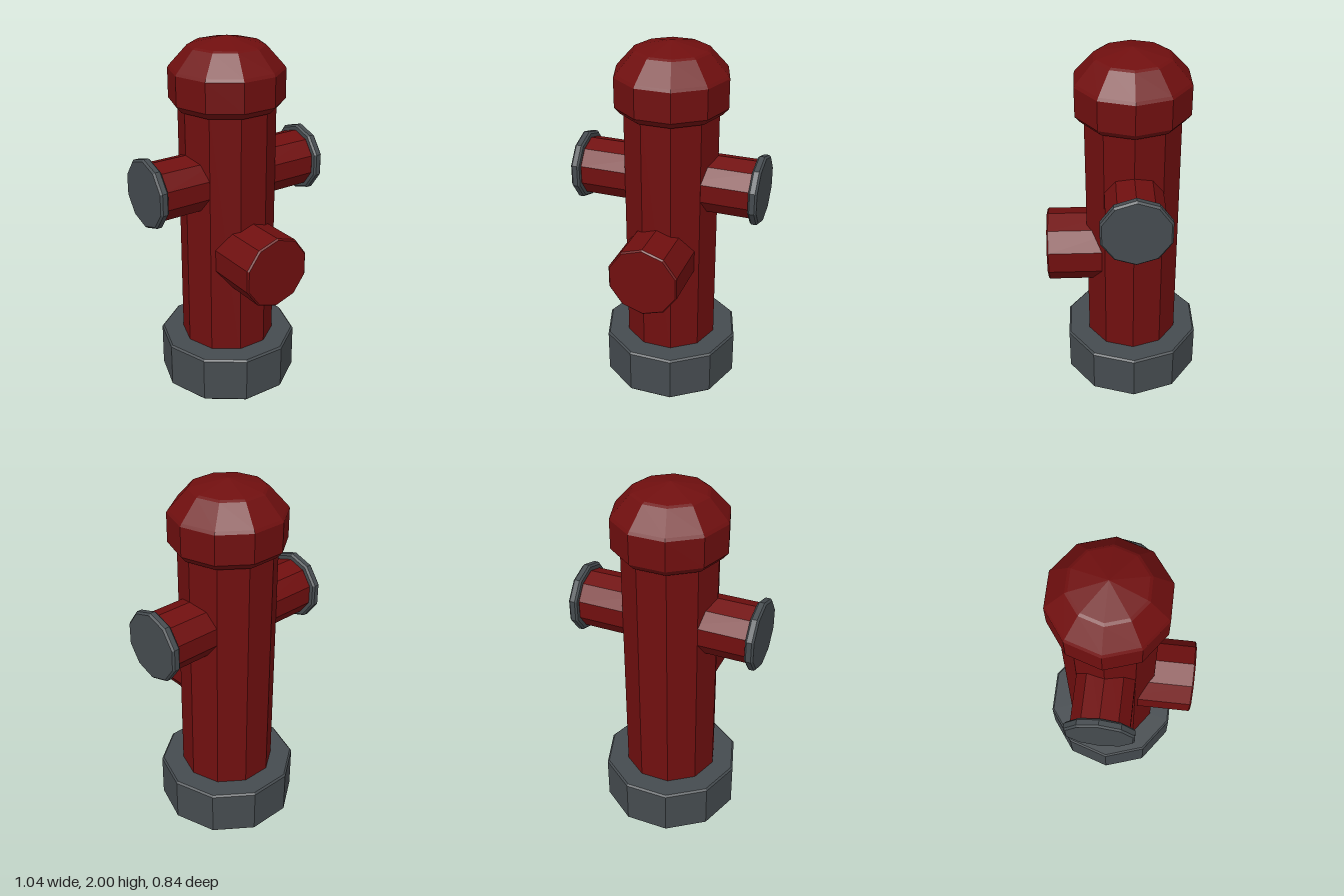
import * as THREE from 'three';

const SIDES = 10;
const AXIS_Z = -0.05; // the barrel sits slightly behind centre

export function createModel() {
  const red = new THREE.MeshStandardMaterial({ color: 0x700f0f, flatShading: true });
  red.name = 'hydrant red';
  const grey = new THREE.MeshStandardMaterial({ color: 0x454b4f, flatShading: true });
  grey.name = 'iron grey';

  const model = new THREE.Group();
  model.name = 'fireHydrant';

  // Ten-sided turned part from [radius, height] pairs, bottom to top
  function turned(name, profile, material, parent, phi = Math.PI / SIDES) {
    const points = profile.map(([r, y]) => new THREE.Vector2(r, y));
    const mesh = new THREE.Mesh(new THREE.LatheGeometry(points, SIDES, phi), material);
    mesh.name = name;
    parent.add(mesh);
    return mesh;
  }

  // Closed drum with a small bevel on both rims
  const drum = (r, y0, y1, b = 0.01) => [
    [0, y0], [r - b, y0], [r, y0 + b], [r, y1 - b], [r - b, y1], [0, y1],
  ];

  // Upright parts: base, barrel and domed bonnet
  const column = new THREE.Group();
  column.name = 'column';
  column.position.z = AXIS_Z;
  model.add(column);
  turned('base', drum(0.388, 0, 0.268), grey, column);
  turned('barrel', drum(0.262, 0.2, 1.7), red, column);
  turned('bonnet', [
    [0, 1.635], [0.28, 1.635], [0.31, 1.67], [0.31, 1.83],
    [0.3, 1.845], [0.205, 1.95], [0.19, 1.958], [0, 2],
  ], red, column);

  // Mirrored side outlets with grey end caps
  for (const side of [1, -1]) {
    const outlet = new THREE.Group();
    outlet.name = side > 0 ? 'leftOutlet' : 'rightOutlet';
    outlet.position.set(0, 1.24, AXIS_Z);
    outlet.rotation.z = -side * Math.PI / 2;
    turned('outletPipe', drum(0.161, 0.1, 0.48), red, outlet);
    turned('outletCap', drum(0.191, 0.473, 0.52), grey, outlet);
    model.add(outlet);
  }

  // Large front outlet
  const front = turned('frontOutlet', drum(0.2, 0, 0.42, 0.008), red, model, 0);
  front.position.y = 0.83;
  front.rotation.x = Math.PI / 2;

  return model;
}
